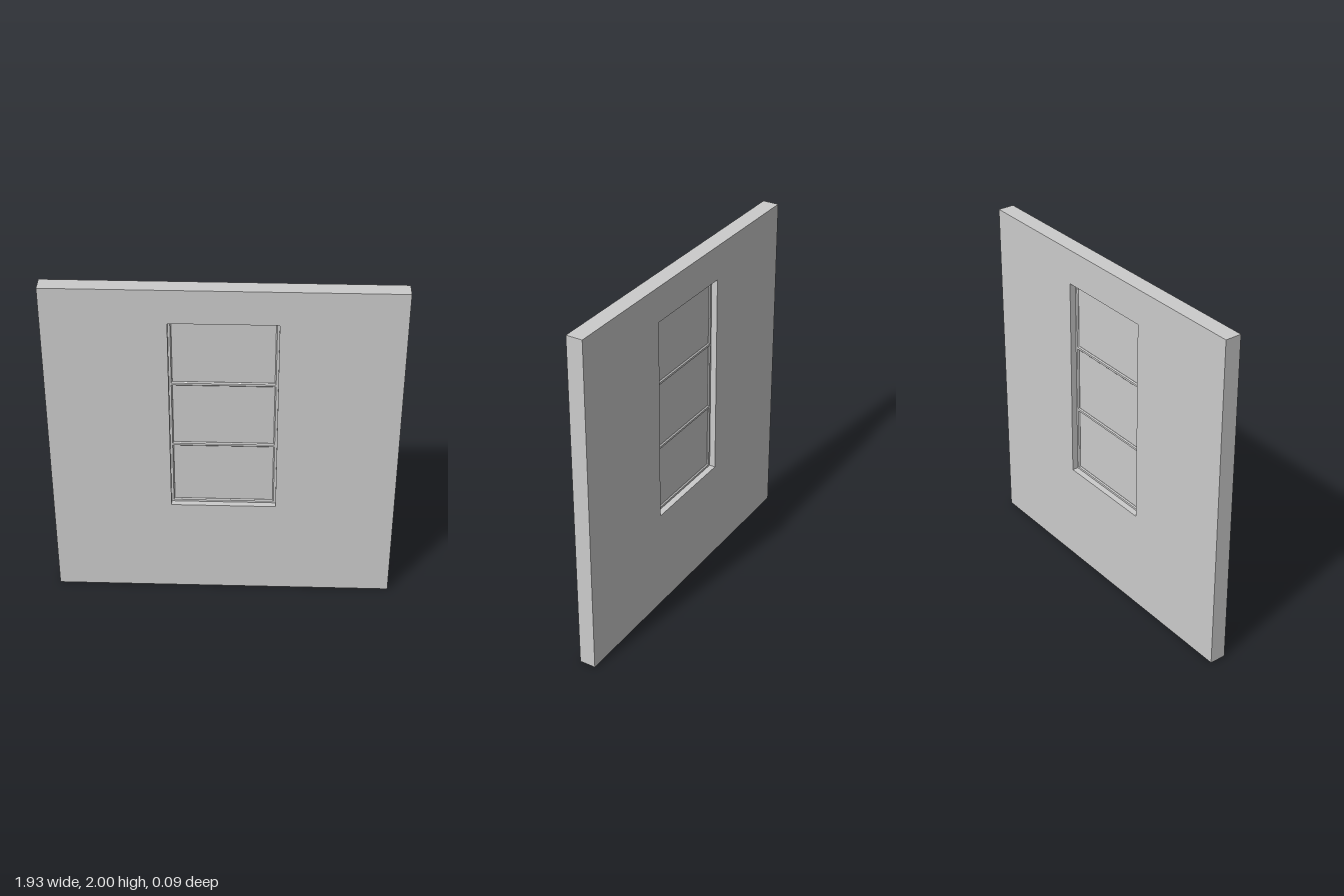
import * as THREE from 'three';

const material = new THREE.MeshStandardMaterial({ color: 0xcccccc, flatShading: true });

// Counter-clockwise rectangle from two corners
function rectangle(Type, x0, y0, x1, y1) {
  return new Type([[x0, y0], [x1, y0], [x1, y1], [x0, y1]].map(([x, y]) => new THREE.Vector2(x, y)));
}

function addPart(group, name, geometry) {
  const mesh = new THREE.Mesh(geometry, material);
  mesh.name = name;
  group.add(mesh);
  return mesh;
}

export function createModel() {
  const model = new THREE.Group();
  model.name = 'wallWithWindow';
  const halfWidth = 0.967, height = 2, thickness = 0.095;
  const openX = 0.295, openBottom = 0.6, openTop = 1.8;

  // Wall panel with its window opening
  const wallShape = rectangle(THREE.Shape, -halfWidth, 0, halfWidth, height);
  wallShape.holes.push(rectangle(THREE.Path, -openX, openBottom, openX, openTop));
  const wallGeometry = new THREE.ExtrudeGeometry(wallShape, { depth: thickness, bevelEnabled: false });
  wallGeometry.translate(0, 0, -thickness / 2);
  addPart(model, 'wall', wallGeometry);

  // Window frame and crossbars: one bevelled sheet with three pane holes,
  // its outer rim tucked inside the wall
  const rim = 0.015, bar = 0.018, panes = 3, bevel = 0.006;
  const pitch = (openTop - openBottom) / panes;
  const frameShape = rectangle(THREE.Shape, -openX - 0.02, openBottom - 0.02, openX + 0.02, openTop + 0.02);
  for (let i = 0; i < panes; i++) {
    const bottom = openBottom + i * pitch + (i === 0 ? rim : bar / 2);
    const top = openBottom + (i + 1) * pitch - (i === panes - 1 ? rim : bar / 2);
    frameShape.holes.push(rectangle(THREE.Path, -openX + rim, bottom, openX - rim, top));
  }
  const frameGeometry = new THREE.ExtrudeGeometry(frameShape, {
    depth: 0.012, bevelEnabled: true, bevelSegments: 1,
    bevelThickness: bevel, bevelSize: bevel, bevelOffset: -bevel / 2,
  });
  frameGeometry.translate(0, 0, -0.006);
  addPart(model, 'windowFrame', frameGeometry);

  // Glass panes between the bars
  for (let i = 0; i < panes; i++) {
    const pane = addPart(model, `windowPane${i + 1}`, new THREE.BoxGeometry(2 * openX - 0.01, pitch - 0.002, 0.008));
    pane.position.y = openBottom + (i + 0.5) * pitch;
  }
  return model;
}
